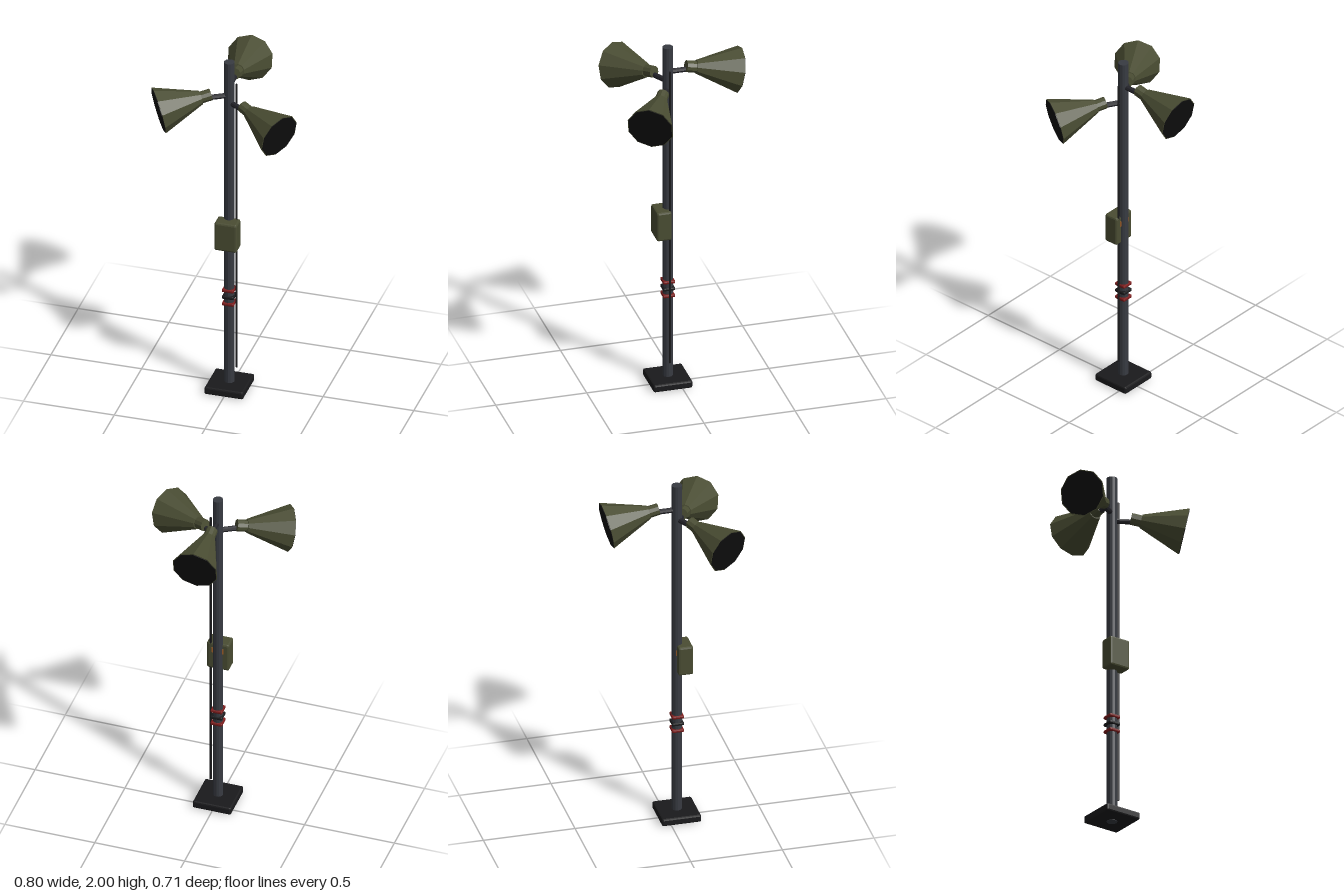
import * as THREE from 'three';
import { RoundedBoxGeometry } from 'three/addons/geometries/RoundedBoxGeometry.js';

const paint = (color) => new THREE.MeshStandardMaterial({ color, flatShading: true });
const olive = paint(0x4a4d33), steel = paint(0x383b42), black = paint(0x1a1a1c);
const dark = paint(0x0e0e0e), iron = paint(0x24242a), red = paint(0x7d1c1c), orange = paint(0xa8632a);

const POLE_Z = 0.055;

function add(parent, name, geometry, material, x = 0, y = 0, z = 0) {
  const mesh = new THREE.Mesh(geometry, material);
  mesh.name = name;
  mesh.position.set(x, y, z);
  parent.add(mesh);
  return mesh;
}

// Tapered cylinder running along +z, from z0 to z1
function barrel(r0, r1, z0, z1, sides) {
  return new THREE.CylinderGeometry(r1, r0, z1 - z0, sides)
    .rotateX(Math.PI / 2)
    .translate(0, 0, (z0 + z1) / 2);
}

const bevelBox = (w, h, d, r) => new RoundedBoxGeometry(w, h, d, 1, r);

// One loudspeaker on its arm, facing +z and tilted downwards
function createHorn(name, height, azimuth) {
  const unit = new THREE.Group();
  unit.name = name;
  unit.position.y = height;
  unit.rotation.y = azimuth;
  add(unit, 'arm', barrel(0.0145, 0.0145, 0, 0.115, 8), iron);

  const speaker = new THREE.Group();
  speaker.name = 'speaker';
  speaker.position.set(0, 0.018, 0.1);
  speaker.rotation.x = THREE.MathUtils.degToRad(12);
  add(speaker, 'neck', barrel(0.032, 0.032, 0, 0.06, 10), olive);
  add(speaker, 'bell', barrel(0.037, 0.127, 0.055, 0.289, 10), olive);
  add(speaker, 'mouth', barrel(0.122, 0.122, 0.28, 0.292, 10), dark);
  unit.add(speaker);
  return unit;
}

export function createModel() {
  const model = new THREE.Group();
  model.name = 'sirenPole';
  const post = new THREE.Group();
  post.name = 'post';
  post.position.z = POLE_Z;
  model.add(post);

  // Foot and pole
  add(post, 'basePlate', bevelBox(0.214, 0.042, 0.214, 0.009), black, 0, 0.024);
  add(post, 'pole', new THREE.CylinderGeometry(0.028, 0.028, 2, 12), steel, 0, 1);

  // Cable up the left side
  add(post, 'cable', new THREE.CylinderGeometry(0.006, 0.006, 1.735, 6), black, 0.04, 1.0025);

  // Square bands round the pole
  [[0.608, red], [0.567, black], [0.526, red]].forEach(([y, material]) =>
    add(post, 'band', bevelBox(0.066, 0.018, 0.066, 0.006), material, 0, y));

  // Control box with its mounting strip
  add(post, 'controlBox', bevelBox(0.124, 0.168, 0.082, 0.01), olive, 0, 0.96, 0.035);
  add(post, 'mountingStrip', new THREE.BoxGeometry(0.066, 0.03, 0.012), orange, 0, 1, -0.004);

  // Three horns, stepped down the pole
  post.add(createHorn('backHorn', 1.852, Math.PI));
  post.add(createHorn('rightHorn', 1.796, -Math.PI / 3));
  post.add(createHorn('leftHorn', 1.752, Math.PI / 3));
  return model;
}
